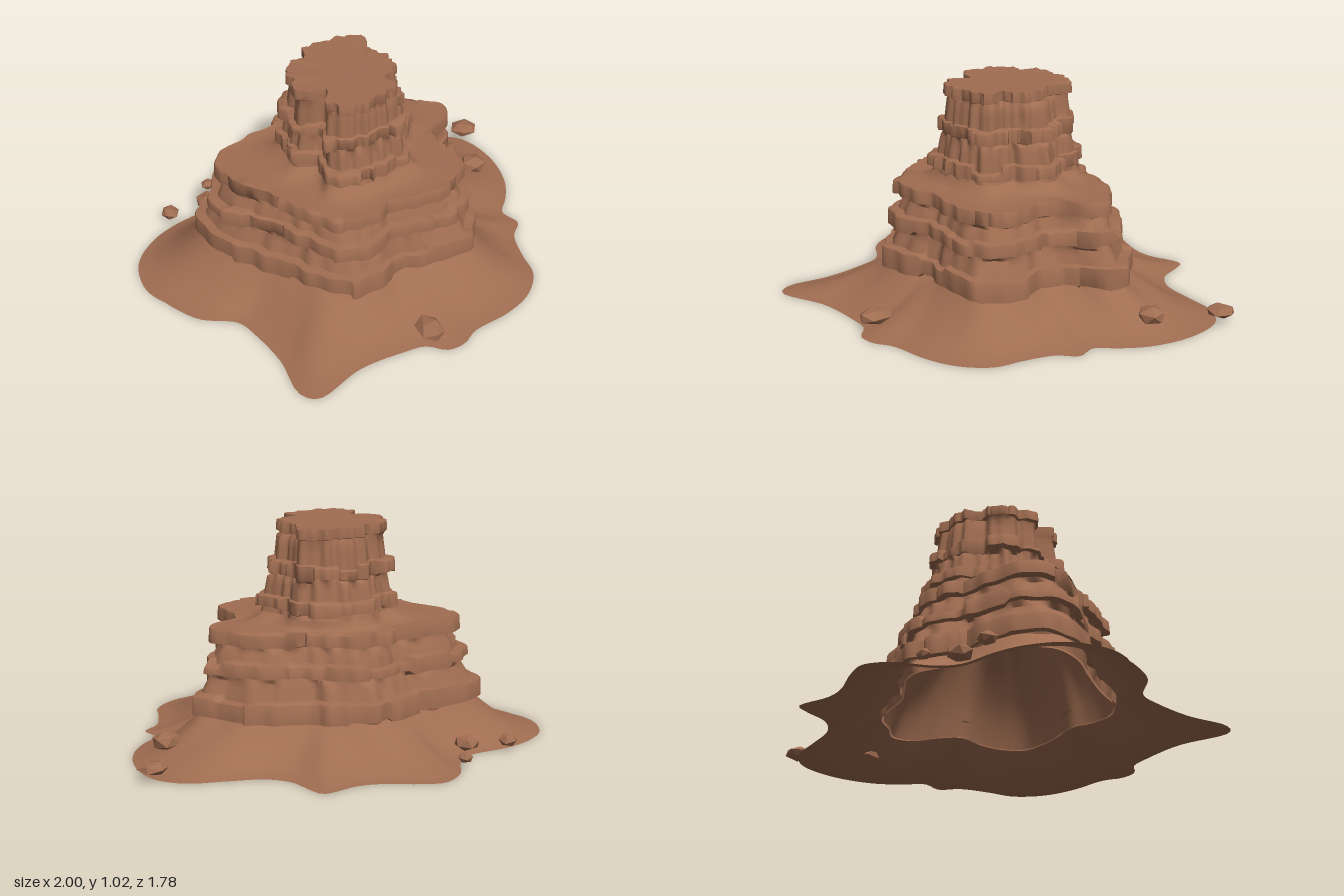
import * as THREE from 'three';
import { toCreasedNormals } from 'three/addons/utils/BufferGeometryUtils.js';

const SEG = 200;
const { lerp } = THREE.MathUtils;
let seed = 11;
const rand = () => {
  seed = (seed * 16807) % 2147483647;
  return seed / 2147483647;
};
const mix = (a, b, t) => a.map((r, i) => lerp(r, b[i], t));

// Turns a plan outline [x, z, x, z, ...] into one radius per angular step.
function polarOutline(flat) {
  const pts = [];
  for (let i = 0; i < flat.length; i += 2) pts.push(new THREE.Vector3(flat[i], 0, flat[i + 1]));
  const samples = new THREE.CatmullRomCurve3(pts, true, 'centripetal').getPoints(600)
    .map(p => [Math.atan2(p.z, p.x), Math.hypot(p.x, p.z)])
    .sort((a, b) => a[0] - b[0]);
  return Array.from({ length: SEG }, (_, i) => {
    let a = (i / SEG) * Math.PI * 2;
    if (a > Math.PI) a -= Math.PI * 2;
    const k = samples.findIndex(s => s[0] >= a);
    if (k <= 0) return samples[k < 0 ? samples.length - 1 : 0][1];
    const [a0, r0] = samples[k - 1], [a1, r1] = samples[k];
    return r0 + (r1 - r0) * (a1 > a0 ? (a - a0) / (a1 - a0) : 0);
  });
}

// Skins a stack of rings; each ring is a function step -> [radius, y].
function loft(rings, capY) {
  const pos = [], index = [];
  for (const ring of rings) {
    for (let i = 0; i < SEG; i++) {
      const a = (i / SEG) * Math.PI * 2, [r, y] = ring(i);
      pos.push(r * Math.cos(a), y, r * Math.sin(a));
    }
  }
  for (let k = 0; k < rings.length - 1; k++) {
    for (let i = 0; i < SEG; i++) {
      const j = (i + 1) % SEG, a = k * SEG, b = a + SEG;
      index.push(a + i, b + i, b + j, a + i, b + j, a + j);
    }
  }
  if (capY !== undefined) {
    const c = pos.length / 3, a = (rings.length - 1) * SEG;
    pos.push(0, capY, 0);
    for (let i = 0; i < SEG; i++) index.push(a + i, c, a + (i + 1) % SEG);
  }
  const g = new THREE.BufferGeometry();
  g.setAttribute('position', new THREE.Float32BufferAttribute(pos, 3));
  g.setIndex(index);
  return toCreasedNormals(g, 0.85);
}

// Random blocks around a ledge: each has a depth, a skew and height offsets.
function blocks(depth, wobble) {
  const out = [];
  while (out.length < SEG) {
    const n = 4 + Math.floor(rand() * 15);
    const d = depth * (rand() < 0.22 ? 0.1 : 0.4 + 0.6 * rand()), skew = (rand() - 0.5) * depth * 0.7;
    const lo = (rand() - 0.5) * wobble, hi = -rand() * (rand() < 0.25 ? 2 : 0.5) * wobble;
    for (let i = 0; i < n; i++) {
      out.push({ d: Math.max(0.003, d + skew * (i / n - 0.5)), lo, hi });
    }
  }
  return out;
}

// Rings of one stone ledge followed by the sloping, recessed wall above it.
function ledge(outline, { y0, y1, s, depth, next, sNext }) {
  const b = blocks(depth, next ? 0.02 : 0.005), ph = rand() * 6;
  const rough = i => 0.007 * Math.sin(i * Math.PI * 2 / SEG * 17 + ph) + 0.005 * Math.sin(i * Math.PI * 2 / SEG * 29 - ph);
  const wall = (scale, i) => outline[i] * scale + rough(i);
  const rings = [
    i => [wall(s, i), y0 + b[i].lo],
    i => [wall(s, i) + b[i].d, y0 + b[i].lo + 0.004],
    i => [wall(s, i) + b[i].d * 0.92, y1 + b[i].hi - 0.006],
    i => [wall(s, i) + b[i].d * 0.8, y1 + b[i].hi],
  ];
  if (next) {
    rings.push(i => [wall(lerp(sNext, s, 0.6), i), y1 + b[i].hi + 0.005]);
    rings.push(i => [wall(lerp(sNext, s, 0.25), i), lerp(y1, next, 0.5)]);
    rings.push(i => [wall(sNext, i), next - 0.014]);
  }
  return rings;
}

export function createModel() {
  const model = new THREE.Group();
  const rock = new THREE.MeshStandardMaterial({ color: 0xa06d51, side: THREE.DoubleSide });
  rock.name = 'red brown rock';
  const add = (name, geometry) => {
    const m = new THREE.Mesh(geometry, rock);
    m.name = name;
    model.add(m);
    return m;
  };

  const ground = polarOutline([
    -0.28, -0.89, -0.17, -0.88, 0, -0.83, 0.1, -0.83, 0.27, -0.885, 0.31, -0.82, 0.36, -0.7, 0.46, -0.63,
    0.62, -0.61, 0.8, -0.59, 0.92, -0.5, 0.97, -0.3, 0.94, -0.1, 0.87, 0.03, 0.8, 0.12, 0.83, 0.22,
    0.76, 0.3, 0.72, 0.45, 0.7, 0.58, 0.6, 0.7, 0.45, 0.77, 0.25, 0.81, 0.17, 0.86, 0.08, 0.865,
    0, 0.8, -0.1, 0.79, -0.33, 0.8, -0.58, 0.885, -0.64, 0.82, -0.63, 0.6, -0.66, 0.4, -0.7, 0.28,
    -0.85, 0.18, -0.94, 0.03, -1, -0.13, -0.96, -0.32, -0.83, -0.45, -0.7, -0.51, -0.52, -0.56,
    -0.44, -0.65, -0.38, -0.8]);
  const lower = polarOutline([
    -0.08, -0.55, 0.12, -0.49, 0.2, -0.43, 0.38, -0.4, 0.5, -0.36, 0.58, -0.27, 0.67, -0.19, 0.65, -0.08,
    0.55, 0, 0.47, 0.1, 0.5, 0.25, 0.49, 0.37, 0.43, 0.47, 0.3, 0.5, 0.2, 0.5, 0.02, 0.48,
    -0.07, 0.52, -0.2, 0.54, -0.33, 0.47, -0.42, 0.32, -0.55, 0.14, -0.67, -0.02, -0.71, -0.18,
    -0.64, -0.3, -0.54, -0.36, -0.44, -0.39, -0.3, -0.43, -0.2, -0.5]);
  // The back of the lower tier leans in towards the shelf
  const shelfEdge = lower.map((r, i) => r * (1 - 0.08 * Math.max(0, -Math.sin(i / SEG * Math.PI * 2))));
  const upperBase = polarOutline([
    -0.3, -0.04, -0.28, -0.16, -0.2, -0.22, -0.13, -0.32, 0, -0.35, 0.13, -0.32, 0.23, -0.26, 0.25, -0.14,
    0.32, -0.04, 0.28, 0.07, 0.21, 0.13, 0.2, 0.24, 0.05, 0.3, -0.1, 0.31, -0.22, 0.25, -0.2, 0.11, -0.3, 0.05]);
  const upperTop = polarOutline([
    -0.26, -0.05, -0.25, -0.17, -0.14, -0.2, -0.1, -0.27, 0, -0.28, 0.14, -0.27, 0.2, -0.21, 0.17, -0.13,
    0.22, -0.04, 0.19, 0.08, 0.13, 0.11, 0.14, 0.2, 0.03, 0.25, -0.12, 0.25, -0.2, 0.19, -0.16, 0.09, -0.27, 0.05]);

  // Sloping sand skirt, flaring out to a thin wavy rim
  add('sandSkirt', loft([1, 0.85, 0.7, 0.55, 0.42, 0.3, 0.2, 0.1, 0, -0.1].map(t => i => [
    lerp(lower[i] * 0.96, ground[i], t), 0.006 + 0.172 * (1 - t) ** 1.7])));

  // Lower tier: three ledges, then a flat shelf banked up against the upper tier
  const shelf = [0, 0.35, 0.7, 0.88, 1].map(t => i => [
    lerp(shelfEdge[i] * 0.83, upperBase[i] * 0.98, t), 0.572 + 0.045 * t ** 5]);
  add('lowerTier', loft([
    i => [lower[i] * 0.94, 0.13],
    ...ledge(lower, { y0: 0.18, y1: 0.28, s: 0.95, depth: 0.045, next: 0.36, sNext: 0.86 }),
    ...ledge(mix(lower, shelfEdge, 0.6), { y0: 0.365, y1: 0.44, s: 0.88, depth: 0.05, next: 0.5, sNext: 0.81 }),
    ...ledge(shelfEdge, { y0: 0.505, y1: 0.575, s: 0.82, depth: 0.05 }),
    ...shelf,
  ]));

  // Smooth core seen through the open underside
  add('core', loft([0, 0.25, 0.5, 0.75, 1].map(t => i => [
    lerp(lower[i] * 0.92, upperBase[i] * 0.95, t ** 1.5), 0.13 + 0.42 * t]), 0.55));

  // Upper tier: three smaller ledges with a flat top
  add('upperTier', loft([
    i => [upperBase[i], 0.585],
    ...ledge(upperBase, { y0: 0.635, y1: 0.7, s: 0.94, depth: 0.04, next: 0.79, sNext: 0.86 }),
    ...ledge(mix(upperBase, upperTop, 0.5), { y0: 0.795, y1: 0.86, s: 0.93, depth: 0.04, next: 0.97, sNext: 0.86 }),
    ...ledge(upperTop, { y0: 0.975, y1: 1.028, s: 0.93, depth: 0.025 }),
  ], 1.022));

  // Loose boulders on the sand: x, y, z, half sizes
  [
    [0.04, 0.07, 0.76, 0.066, 0.038, 0.09],
    [0.81, 0.085, -0.21, 0.07, 0.045, 0.066],
    [0.932, 0.067, -0.52, 0.072, 0.03, 0.068],
    [-0.705, 0.06, -0.55, 0.045, 0.03, 0.048],
    [-0.505, 0.065, -0.55, 0.062, 0.038, 0.062],
    [-0.445, 0.045, -0.695, 0.037, 0.026, 0.032],
  ].forEach(([x, y, z, sx, sy, sz], n) => {
    const boulder = add('boulder', new THREE.IcosahedronGeometry(1, 0).rotateY(n * 1.3).rotateX(n * 0.7));
    boulder.position.set(x, y, z);
    boulder.scale.set(sx, sy, sz);
  });

  return model;
}
